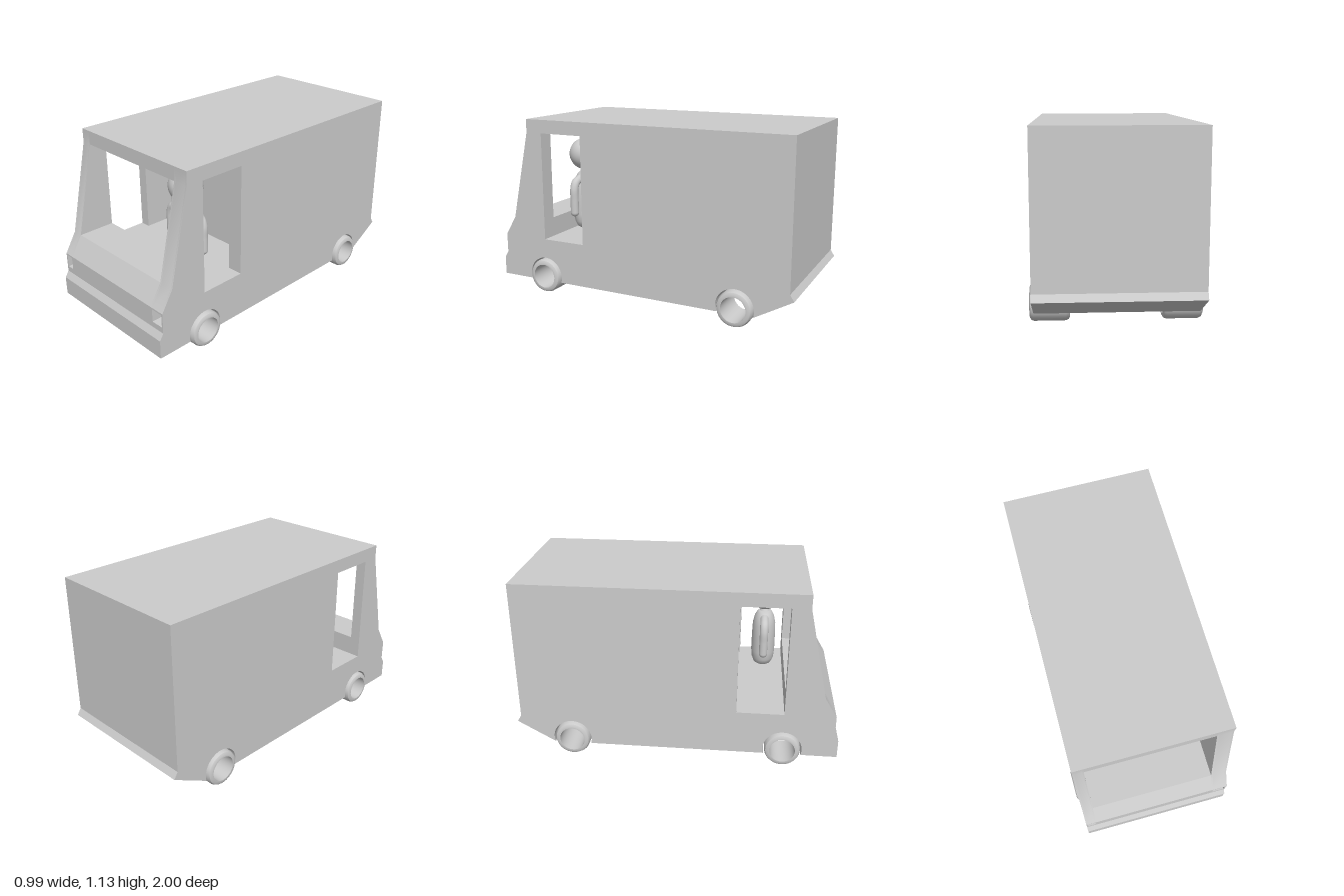
import * as THREE from 'three';
import { toCreasedNormals } from 'three/addons/utils/BufferGeometryUtils.js';

const mat = new THREE.MeshStandardMaterial({ color: 0xcccccc });
const AXLES = [-0.65, 0.665];
const WHEEL_Y = 0.11;

function add(parent, geometry, name) {
  const mesh = new THREE.Mesh(geometry, mat);
  mesh.name = name;
  parent.add(mesh);
  return mesh;
}

// Side outline in (z, y), with optional lamp recess, cab cavity or door window
function bodyOutline({ lamp = false, cab = false, window = false }) {
  const s = new THREE.Shape();
  const line = (pts) => pts.forEach(([z, y]) => s.lineTo(z, y));
  const a = Math.asin((WHEEL_Y - 0.075) / 0.12);
  s.moveTo(-1, 0.075);
  for (const z of AXLES) s.absarc(z, WHEEL_Y, 0.12, Math.PI + a, -a, true);
  line([[1, 0.075], [1, 0.19], [0.975, 0.23]]);
  if (lamp) line([[0.975, 0.265], [0.915, 0.265], [0.915, 0.345], [0.975, 0.345]]);
  line([[0.975, 0.355], [0.9, 0.48]]);
  if (cab) line([[0.665, 0.48], [0.665, 0.355], [0.17, 0.355], [0.17, 1.045]]);
  line([[0.775, 1.045], [0.775, 1.13], [-0.975, 1.13], [-0.975, 0.25], [-1, 0.21]]);
  s.closePath();
  if (window) {
    const hole = new THREE.Path();
    hole.moveTo(0.375, 0.355);
    hole.lineTo(0.375, 1.045);
    hole.lineTo(0.665, 1.045);
    hole.lineTo(0.665, 0.355);
    hole.closePath();
    s.holes.push(hole);
  }
  return s;
}

// Slab of the body between two x positions
function bodySlab(parent, x0, x1, options, name) {
  const g = new THREE.ExtrudeGeometry(bodyOutline(options), {
    depth: x1 - x0, bevelEnabled: false, curveSegments: 16,
  });
  g.rotateY(-Math.PI / 2).translate(x1, 0, 0);
  add(parent, toCreasedNormals(g, 0.4), name);
}

function lathe(pts, segments) {
  return new THREE.LatheGeometry(pts.map(([r, y]) => new THREE.Vector2(r, y)), segments);
}

function createDriver() {
  const driver = new THREE.Group();
  driver.name = 'driver';
  driver.position.set(0.17, 0, 0.53);

  // Rounded torso, flattened front to back
  const torso = lathe([[0, 0.385], [0.045, 0.388], [0.075, 0.405], [0.092, 0.44], [0.097, 0.49],
    [0.096, 0.6], [0.093, 0.68], [0.08, 0.73], [0.06, 0.76], [0.045, 0.77], [0, 0.773]], 32);
  add(driver, torso, 'torso').scale.z = 0.8;
  add(driver, new THREE.CylinderGeometry(0.018, 0.036, 0.03, 24), 'neck').position.y = 0.777;
  add(driver, new THREE.SphereGeometry(0.104, 32, 24), 'head').position.y = 0.886;

  // Arms with bent shoulders and rounded hands
  for (const side of [-1, 1]) {
    const path = new THREE.CatmullRomCurve3([[0.04, 0.735], [0.09, 0.725], [0.125, 0.71],
      [0.142, 0.67], [0.143, 0.6], [0.143, 0.517]].map(([x, y]) => new THREE.Vector3(side * x, y, 0)));
    add(driver, new THREE.TubeGeometry(path, 28, 0.027, 16), 'arm');
    add(driver, new THREE.SphereGeometry(0.027, 16, 12), 'hand').position.set(side * 0.143, 0.517, 0);
  }
  return driver;
}

export function createModel() {
  const van = new THREE.Group();
  van.name = 'van';

  const body = new THREE.Group();
  body.name = 'body';
  van.add(body);
  const window = true;
  // Right wall, with its lamp recess
  bodySlab(body, -0.475, -0.465, { window }, 'rightWallOuter');
  bodySlab(body, -0.465, -0.415, { window, lamp: true }, 'rightWallLamp');
  bodySlab(body, -0.415, -0.408, { window }, 'rightWallInner');
  // Middle, with the open cab
  bodySlab(body, -0.408, 0.365, { cab: true }, 'cabAndCargoBox');
  // Left wall, with its lamp recess
  bodySlab(body, 0.365, 0.375, { window }, 'leftWallInner');
  bodySlab(body, 0.375, 0.455, { window, lamp: true }, 'leftWallLamp');
  bodySlab(body, 0.455, 0.465, { window }, 'leftWallOuter');

  // Hollow wheels with chamfered rims
  const h = 0.114;
  const ring = toCreasedNormals(lathe([[0.078, -h], [0.09, -h], [0.103, -h + 0.007], [0.11, -h + 0.022],
    [0.11, h - 0.022], [0.103, h - 0.007], [0.09, h], [0.078, h], [0.078, -h]], 40), 0.5);
  ring.rotateZ(-Math.PI / 2);
  for (const z of AXLES) {
    for (const x of [-0.381, 0.376]) add(van, ring, 'wheel').position.set(x, WHEEL_Y, z);
  }

  van.add(createDriver());
  return van;
}
